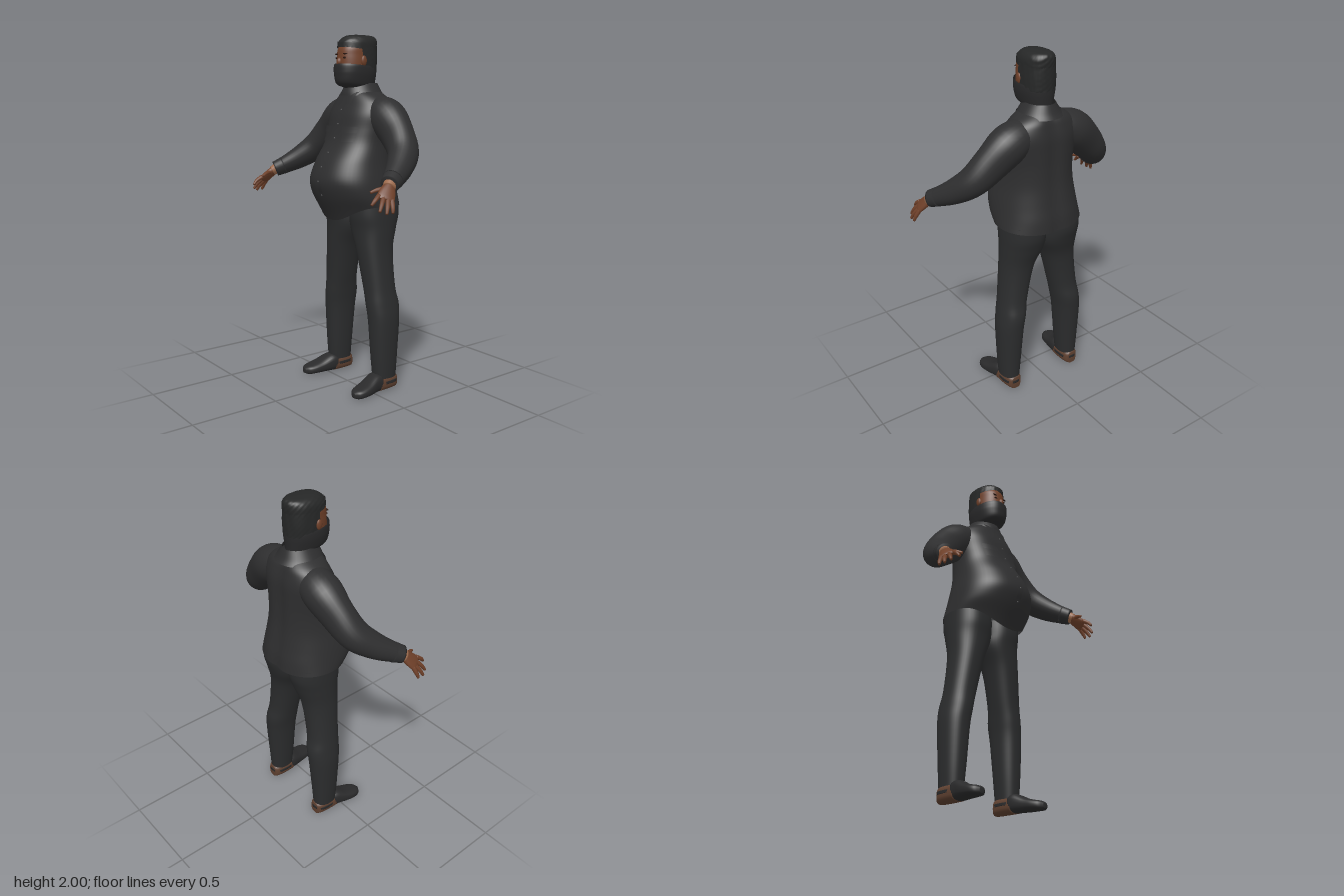
import * as THREE from 'three';

const mat = (name, color, side = THREE.FrontSide) => {
  const m = new THREE.MeshStandardMaterial({ color, side });
  m.name = name;
  return m;
};

// Smoothly adds in-between rows to a short list of cross-sections
function refine(rows, steps = 5) {
  const out = [], at = i => rows[Math.max(0, Math.min(rows.length - 1, i))];
  for (let i = 0; i < rows.length - 1; i++) {
    for (let k = 0; k < steps; k++) {
      const t = k / steps, [a, b, c, d] = [at(i - 1), at(i), at(i + 1), at(i + 2)];
      out.push(b.map((v, n) => v + 0.5 * t * (c[n] - a[n]
        + t * (2 * a[n] - 5 * v + 4 * c[n] - d[n] + t * (3 * (v - c[n]) + d[n] - a[n])))));
    }
  }
  out.push(rows[rows.length - 1]);
  return out;
}

// Skins rings of points; rings run counter-clockwise seen from the last ring
function skin(rings, { closed = true, capStart = false, capEnd = false } = {}) {
  const n = rings[0].length, pos = [], idx = [];
  rings.forEach(r => r.forEach(p => pos.push(p.x, p.y, p.z)));
  for (let i = 0; i < rings.length - 1; i++) {
    for (let j = 0; j < (closed ? n : n - 1); j++) {
      const a = i * n + j, b = i * n + (j + 1) % n;
      idx.push(a, b, b + n, a, b + n, a + n);
    }
  }
  const cap = (r, flip) => {
    const c = rings[r].reduce((s, p) => s.add(p), new THREE.Vector3()).divideScalar(n);
    const k = pos.length / 3;
    pos.push(c.x, c.y, c.z);
    for (let j = 0; j < n; j++) {
      const a = r * n + j, b = r * n + (j + 1) % n;
      idx.push(...(flip ? [b, a, k] : [a, b, k]));
    }
  };
  if (capStart) cap(0, true);
  if (capEnd) cap(rings.length - 1, false);
  const g = new THREE.BufferGeometry();
  g.setAttribute('position', new THREE.Float32BufferAttribute(pos, 3));
  g.setIndex(idx);
  g.computeVertexNormals();
  return g;
}

// Stacked rounded sections: [y, centre x, half width, front z, back z]
function loft(rows, opt = {}) {
  const { n = 2.2, seg = 40, from = 0, to = Math.PI * 2, warp } = opt;
  const closed = to - from > 6.28;
  const pw = v => Math.sign(v) * Math.abs(v) ** (2 / n);
  const rings = refine(rows).map(([y, cx, rx, zf, zb]) =>
    Array.from({ length: closed ? seg : seg + 1 }, (_, j) => {
      const a = from + (to - from) * j / seg;
      const p = new THREE.Vector3(cx + rx * pw(Math.sin(a)), y, (zf + zb) / 2 + (zf - zb) / 2 * pw(Math.cos(a)));
      if (warp) warp(p, a);
      return p;
    }));
  return skin(rings, { ...opt, closed });
}

// Tube through rows [x, y, z, radius along ref, radius across ref]
function limb(rows, ref, seg = 20) {
  const fine = refine(rows), pts = fine.map(r => new THREE.Vector3(r[0], r[1], r[2]));
  const rings = pts.map((p, i) => {
    const t = pts[Math.min(i + 1, pts.length - 1)].clone().sub(pts[Math.max(i - 1, 0)]).normalize();
    const b = ref.clone().addScaledVector(t, -ref.dot(t)).normalize();
    const n = b.clone().cross(t);
    return Array.from({ length: seg }, (_, j) => {
      const a = j / seg * Math.PI * 2;
      return p.clone().addScaledVector(b, Math.sin(a) * fine[i][3]).addScaledVector(n, Math.cos(a) * fine[i][4]);
    });
  });
  return skin(rings, { capStart: true, capEnd: true });
}

const TORSO = [
  [1.06, 0, .25, .11, -.285], [1.12, 0, .245, .175, -.28], [1.2, 0, .235, .2, -.265],
  [1.3, 0, .215, .165, -.25], [1.4, 0, .203, .1, -.245], [1.48, 0, .208, .07, -.245],
  [1.56, 0, .215, .05, -.245], [1.62, 0, .195, .025, -.235], [1.66, 0, .155, .01, -.222],
  [1.7, 0, .085, -.005, -.19], [1.72, 0, .07, -.015, -.18]];
const TORSO_FINE = refine(TORSO);

// Depth of the shirt front at a given x and y
function chestZ(x, y) {
  let i = TORSO_FINE.findIndex(r => r[0] >= y);
  i = Math.max(1, i);
  const a = TORSO_FINE[i - 1], b = TORSO_FINE[i], t = (y - a[0]) / (b[0] - a[0]);
  const [, , rx, zf, zb] = a.map((v, k) => v + (b[k] - v) * t);
  return (zf + zb) / 2 + (zf - zb) / 2 * (1 - Math.min(1, Math.abs(x / rx)) ** 2.2) ** (1 / 2.2);
}

// Cloth panel lying on the shirt front; corners bottom-left, bottom-right, top-right, top-left
function panel(c, off) {
  const g = new THREE.PlaneGeometry(1, 1, 6, 16), p = g.attributes.position;
  const L = THREE.MathUtils.lerp;
  for (let i = 0; i < p.count; i++) {
    const u = p.getX(i) + .5, v = p.getY(i) + .5;
    const x = L(L(c[0][0], c[1][0], u), L(c[3][0], c[2][0], u), v);
    const y = L(L(c[0][1], c[1][1], u), L(c[3][1], c[2][1], u), v);
    p.setXYZ(i, x, y, chestZ(x, y) + off);
  }
  g.computeVertexNormals();
  return g;
}

export function createModel() {
  const root = new THREE.Group();
  root.name = 'standingMan';
  const shirt = mat('shirt black', 0x2e2e2f, THREE.DoubleSide);
  const trousers = mat('trouser black', 0x2b2c2d, THREE.DoubleSide);
  const wrap = mat('face mask black', 0x29292a, THREE.DoubleSide);
  const hair = mat('hair black', 0x262727, THREE.DoubleSide);
  const shoe = mat('shoe black', 0x2a2a2b);
  const brown = mat('skin brown', 0x6f4029);
  const tan = mat('light skin', 0x9c6a4c);
  const leather = mat('heel brown', 0x5e4030);
  const grey = mat('button grey', 0x454546);
  const dark = mat('eye dark', 0x2a1710);
  const add = (name, geo, m, parent = root) => {
    const mesh = new THREE.Mesh(geo, m);
    mesh.name = name;
    parent.add(mesh);
    return mesh;
  };
  const ball = (name, m, p, s) => {
    const b = add(name, new THREE.SphereGeometry(1, 16, 12), m);
    b.position.set(...p);
    b.scale.set(...s);
  };

  // Shirt with a hem that dips at the front and a shallow groove down the back
  add('shirtBody', loft(TORSO, {
    seg: 56,
    warp: (p, a) => {
      const low = THREE.MathUtils.clamp((1.2 - p.y) / .14, 0, 1);
      const c = Math.cos(a);
      if (c < 0) p.z += .014 * Math.exp(-((p.x / .04) ** 2));
      p.y += low ** 3 * (c > 0 ? -.085 * c ** 4 : -.012 * c * c);
    },
  }), shirt);
  add('placket', panel([[-.018, 1.12], [.018, 1.12], [.018, 1.66], [-.018, 1.66]], .004), shirt);
  for (let i = 0; i < 7; i++) {
    const y = 1.12 + i * .078;
    ball('button', grey, [0, y, chestZ(0, y) + .006], [.006, .006, .004]);
  }
  add('collarStand', loft([[1.665, 0, .125, .022, -.232], [1.69, 0, .108, .016, -.215],
    [1.735, 0, .078, -.005, -.195]], { n: 2 }), shirt);

  // Head, mask and hair
  add('head', loft([[1.78, 0, .083, .058, -.165], [1.84, 0, .086, .056, -.172],
    [1.885, 0, .084, .054, -.175], [1.93, 0, .08, .044, -.175], [1.975, 0, .05, 0, -.14]],
  { capEnd: true }), brown);
  add('faceMask', loft([[1.67, 0, .06, -.03, -.17], [1.705, 0, .066, 0, -.175], [1.73, 0, .08, .06, -.175],
    [1.78, 0, .092, .073, -.18], [1.815, 0, .094, .074, -.181], [1.83, 0, .092, .07, -.18]],
  { warp: (p, a) => { if (p.y > 1.8) p.y += .01 * Math.cos(a); } }), wrap);
  const curl = p => {
    const k = 1 + .018 * Math.sin(p.x * 190 + p.y * 90) * Math.sin(p.z * 150 - p.y * 120);
    p.x *= k;
    p.z = (p.z + .07) * k - .07;
  };
  add('hairTop', loft([[1.915, 0, .087, .05, -.183], [1.955, 0, .084, .045, -.187], [1.98, 0, .071, .025, -.183],
    [1.994, 0, .048, -.005, -.162], [1.999, 0, .012, -.05, -.1]], {
    seg: 64, capEnd: true,
    warp: (p, a) => { curl(p); if (p.y < 1.95) p.y += .014 * Math.max(0, Math.cos(a)); },
  }), hair);
  add('hairBack', loft([[1.8, 0, .09, .05, -.182], [1.86, 0, .091, .05, -.184], [1.93, 0, .087, .05, -.184]],
    { from: 1.35, to: Math.PI * 2 - 1.35, warp: curl }), hair);
  ball('nose', brown, [0, 1.848, .056], [.016, .024, .018]);

  for (const s of [1, -1]) {
    const side = s > 0 ? 'left' : 'right';
    const V = (x, y, z) => new THREE.Vector3(x * s, y, z);
    const flip = rows => rows.map(([x, ...r]) => [x * s, ...r]);
    const flipX = rows => rows.map(([y, x, ...r]) => [y, x * s, ...r]);

    // Face details
    ball(side + 'Ear', brown, [s * .09, 1.855, -.045], [.01, .028, .018]);
    ball(side + 'Eye', dark, [s * .033, 1.871, .047], [.013, .005, .005]);
    ball(side + 'Eyebrow', dark, [s * .035, 1.892, .045], [.021, .004, .006]);

    // Collar point and breast pocket with flap
    add(side + 'CollarPoint', panel(flip([[.045, 1.6], [.06, 1.615], [.085, 1.695], [.005, 1.69]]), .009), shirt);
    add(side + 'Pocket', panel(flip([[.06, 1.415], [.14, 1.415], [.145, 1.495], [.055, 1.495]]), .007), shirt);
    add(side + 'PocketFlap', panel(flip([[.052, 1.465], [.148, 1.465], [.147, 1.5], [.053, 1.5]]), .013), shirt);

    // Sleeve and cuff
    const ref = V(.7, .7, 0);
    add(side + 'Sleeve', limb(flip([[.1, 1.585, -.115, .085, .09], [.2, 1.545, -.118, .108, .105],
      [.3, 1.46, -.105, .1, .088], [.39, 1.37, -.07, .082, .085], [.455, 1.3, .01, .066, .072],
      [.505, 1.25, .095, .05, .056], [.53, 1.228, .14, .041, .046]]), ref, 28), shirt);
    add(side + 'Cuff', limb(flip([[.508, 1.247, .1, .05, .056], [.534, 1.225, .147, .044, .048]]), ref, 28), shirt);

    // Hand: bare wrist, palm, four fingers and thumb
    const hand = new THREE.Group();
    hand.name = side + 'Hand';
    root.add(hand);
    const across = V(-.5, .33, .8);
    add('wrist', limb(flip([[.525, 1.235, .13, .035, .034], [.545, 1.212, .16, .033, .027]]), across), tan, hand);
    add('palm', limb(flip([[.538, 1.22, .15, .03, .024], [.555, 1.193, .177, .042, .021],
      [.572, 1.166, .202, .046, .016], [.578, 1.156, .21, .04, .01]]), across), brown, hand);
    const fingers = [
      [[.553, 1.18, .23], [.562, 1.158, .262], [.56, 1.135, .283]],
      [[.567, 1.17, .213], [.588, 1.137, .242], [.598, 1.105, .262]],
      [[.578, 1.162, .193], [.603, 1.125, .217], [.615, 1.093, .232]],
      [[.588, 1.157, .177], [.608, 1.122, .187], [.617, 1.095, .194]],
      [[.54, 1.208, .175], [.522, 1.203, .215], [.507, 1.19, .248]]];
    fingers.forEach((f, i) => add(i < 4 ? 'finger' : 'thumb', limb(flip(f.map((p, k) => {
      const r = [.013, .011, .007][k];
      return [...p, r, r];
    })), across, 10), brown, hand));

    // Trouser leg
    add(side + 'TrouserLeg', loft(flipX([[.075, .212, .056, -.03, -.172], [.2, .21, .065, -.02, -.18],
      [.4, .205, .075, -.008, -.195], [.5, .193, .078, 0, -.2], [.6, .176, .081, .003, -.183],
      [.8, .142, .095, .02, -.188], [.92, .115, .12, .03, -.222], [1, .113, .123, .042, -.245],
      [1.08, .113, .122, .04, -.245]]), { capEnd: true }), trousers);

    // Shoe, lofted from heel to toe
    const along = (rows, n) =>
      loft(flipX(rows), { n, capStart: true, capEnd: true, seg: 28 }).rotateX(Math.PI / 2);
    add(side + 'Shoe', along([[-.055, .213, .052, 0, -.1], [-.02, .217, .054, 0, -.1], [.04, .23, .056, 0, -.072],
      [.09, .237, .053, 0, -.057], [.125, .24, .04, 0, -.048], [.145, .241, .014, -.008, -.035]], 2.7), shoe);
    add(side + 'Heel', along([[-.177, .211, .03, 0, -.075], [-.155, .211, .045, 0, -.085],
      [-.1, .212, .052, 0, -.085], [-.04, .214, .052, 0, -.085]], 3), leather);
    add(side + 'HeelStrap', loft(flipX([[.04, .212, .054, -.02, -.18], [.056, .212, .054, -.02, -.18]]),
      { n: 2.6, capStart: true, capEnd: true }), shoe);
  }
  return root;
}
